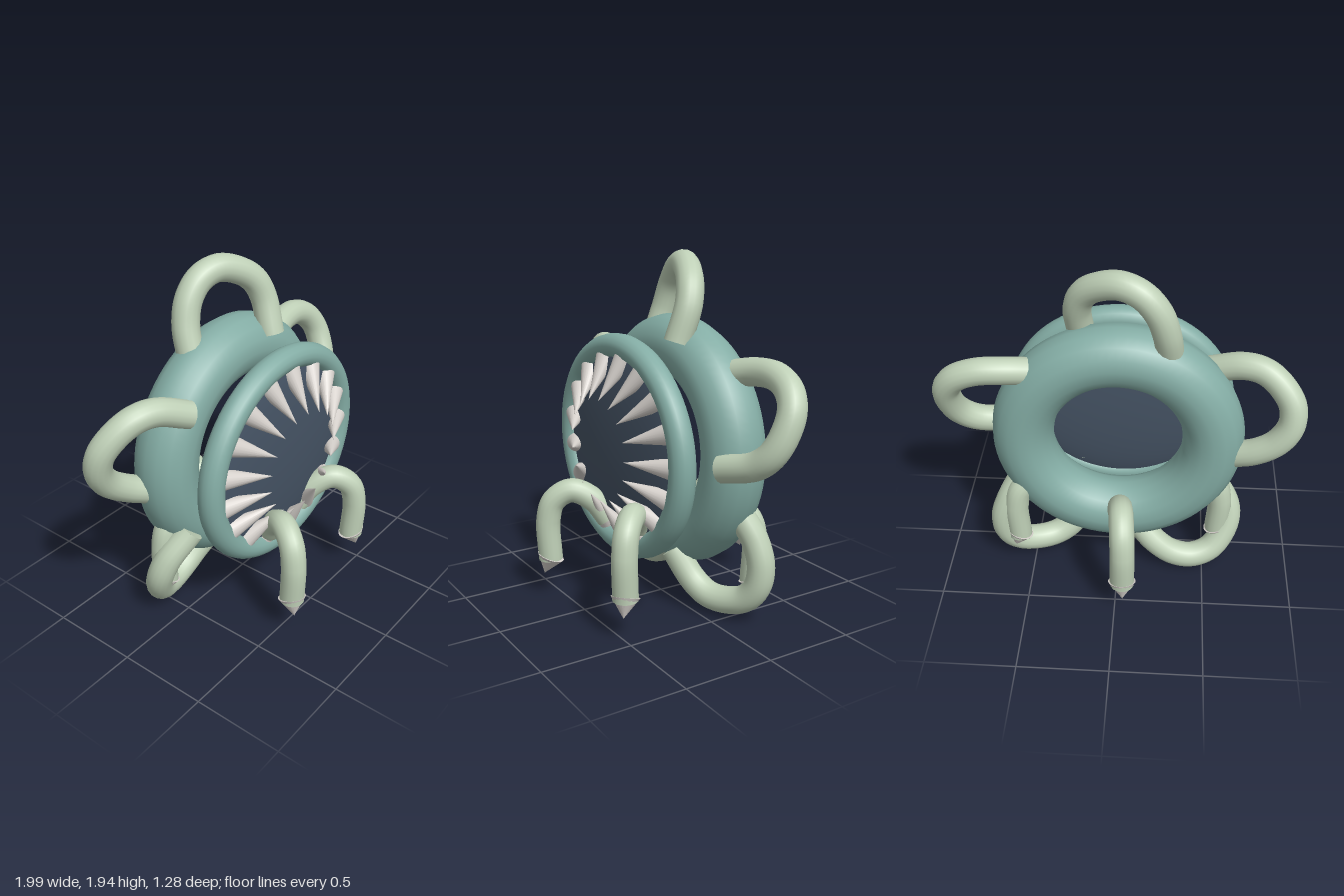
import * as THREE from 'three';

const V = (x, y, z) => new THREE.Vector3(x, y, z);
const mat = (name, color) => {
  const m = new THREE.MeshStandardMaterial({ color });
  m.name = name;
  return m;
};

export function createModel() {
  const teal = mat('teal skin', 0x84ada5);
  const sage = mat('sage limb', 0xbfd0b7);
  const bone = mat('bone', 0xd6d1cc);
  const dark = mat('dark slate', 0x455364);
  const model = new THREE.Group();
  model.name = 'ringCreature';

  const add = (parent, name, geometry, material) => {
    const mesh = new THREE.Mesh(geometry, material);
    mesh.name = name;
    parent.add(mesh);
    return mesh;
  };

  // Closed-ended tube through a few points
  const limb = (parent, name, points, radius) => {
    const curve = new THREE.CatmullRomCurve3(points);
    add(parent, name, new THREE.TubeGeometry(curve, 48, radius, 16), sage);
    for (const t of [0, 1]) {
      const cap = add(parent, name + 'End', new THREE.CircleGeometry(radius, 16), sage);
      const dir = curve.getTangent(t).multiplyScalar(t ? 1 : -1);
      cap.position.copy(curve.getPoint(t));
      cap.quaternion.setFromUnitVectors(V(0, 0, 1), dir);
    }
  };

  // Cone from a base centre to a tip
  const spike = (parent, name, base, tip, radius) => {
    const axis = tip.clone().sub(base);
    const cone = add(parent, name, new THREE.ConeGeometry(radius, axis.length(), 20), bone);
    cone.position.copy(base).addScaledVector(axis, 0.5);
    cone.quaternion.setFromUnitVectors(V(0, 1, 0), axis.normalize());
  };

  // Body ring
  const body = add(model, 'bodyRing', new THREE.TorusGeometry(0.525, 0.17, 16, 80), teal);
  body.position.set(0.006, 0.92, -0.1);

  // Mouth: oval lip, lens-shaped inside and a ring of teeth
  const mouth = new THREE.Group();
  mouth.name = 'mouth';
  mouth.position.set(0.006, 0.92, 0);
  model.add(mouth);
  const lip = add(mouth, 'lip', new THREE.TorusGeometry(0.58, 0.07, 16, 80), teal);
  lip.position.z = 0.25;
  lip.scale.y = 0.94;
  const inside = add(mouth, 'mouthInside', new THREE.SphereGeometry(1, 48, 32), dark);
  inside.position.z = 0.235;
  inside.scale.set(0.6, 0.565, 0.09);
  const teeth = 17;
  for (let i = 0; i < teeth; i++) {
    const a = (i / teeth) * Math.PI * 2;
    const c = Math.cos(a), s = Math.sin(a);
    spike(mouth, 'tooth', V(0.525 * c, 0.485 * s, 0.262), V(0.285 * c, 0.272 * s, 0.412), 0.06);
  }

  // Five looped arms around the rim, each running from back to front
  const loop = [
    V(-0.27, 0.55, -0.13), V(-0.25, 0.71, -0.18), V(-0.205, 0.84, -0.195), V(-0.125, 0.93, -0.185),
    V(-0.02, 0.963, -0.155), V(0.1, 0.925, -0.105), V(0.175, 0.86, -0.065),
    V(0.212, 0.76, -0.03), V(0.2, 0.57, 0.03),
  ];
  for (let i = 0; i < 5; i++) {
    const arm = new THREE.Group();
    arm.name = 'loopArm';
    arm.position.set(0.006, 0.92, 0);
    arm.rotation.z = (i * Math.PI * 2) / 5;
    limb(arm, 'armTube', loop, 0.074);
    model.add(arm);
  }

  // Five hooked legs spread around the vertical axis, each with a claw
  const hook = [[0.28, 0.48], [0.36, 0.585], [0.48, 0.642], [0.58, 0.585], [0.615, 0.47], [0.607, 0.24]];
  for (let i = 0; i < 5; i++) {
    const leg = new THREE.Group();
    leg.name = 'leg';
    leg.position.set(0.02, 0, 0.035);
    leg.rotation.y = -THREE.MathUtils.degToRad(48 + 72 * i);
    limb(leg, 'legTube', hook.map(([r, y]) => V(r, y, 0)), 0.068);
    spike(leg, 'claw', V(0.607, 0.255, 0), V(0.645, 0.152, 0), 0.077);
    model.add(leg);
  }
  return model;
}
